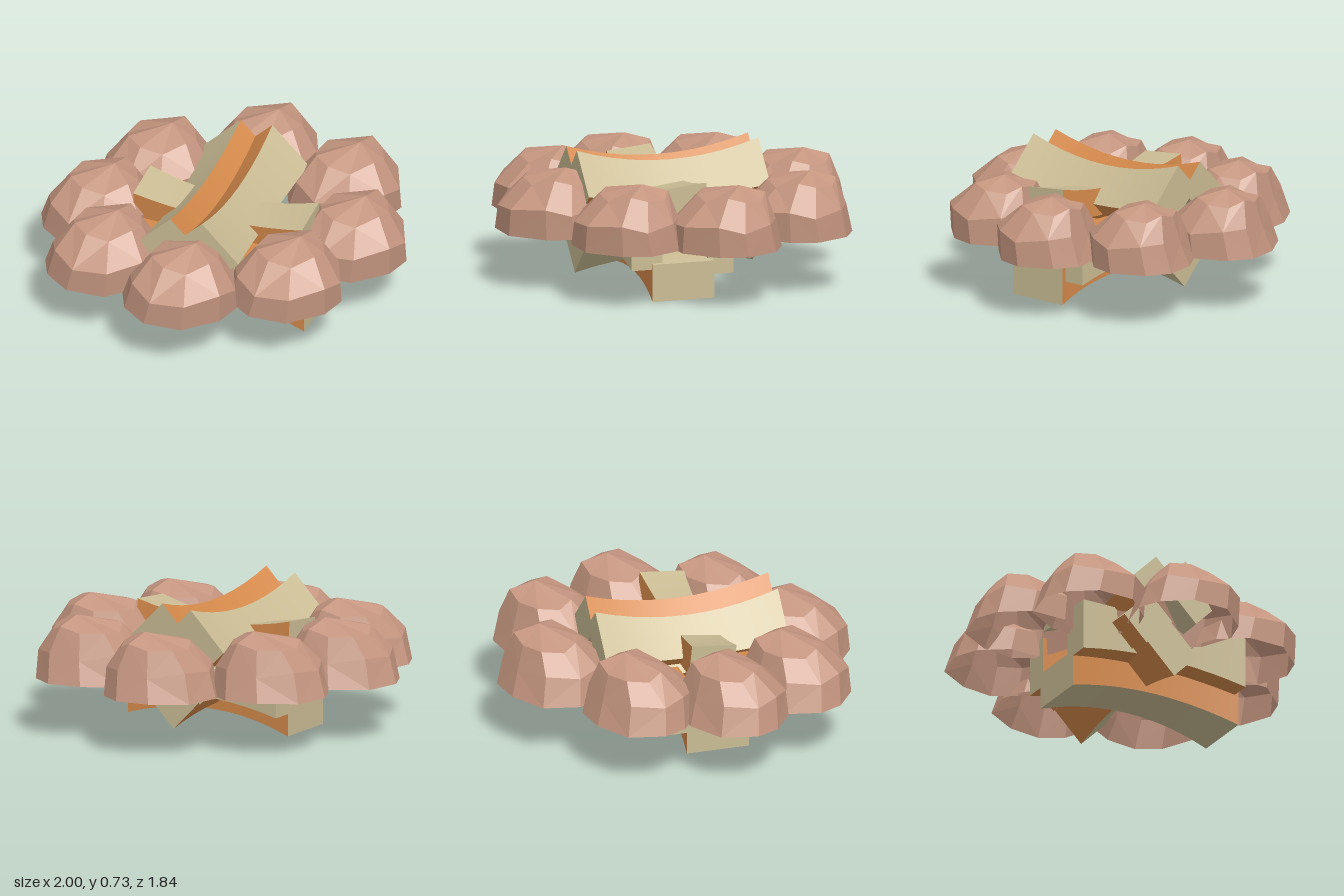
import * as THREE from 'three';

const stone = new THREE.MeshStandardMaterial({ color: 0xc4957f, side: THREE.DoubleSide });
stone.name = 'stone';
const wood = new THREE.MeshStandardMaterial({ color: 0xcabc94 });
wood.name = 'cut wood';
const bark = new THREE.MeshStandardMaterial({ color: 0xd4894a });
bark.name = 'orange bark';

// Faceted half boulder, open underneath: shrinking rings closed by an apex
function stoneGeometry() {
  const ring = [[-.05, -.29], [.15, -.21], [.28, -.08], [.295, .06], [.2, .23],
    [.06, .285], [-.16, .25], [-.29, .09], [-.295, -.09], [-.23, -.21]];
  const n = ring.length;
  const levels = [[1, .305, 0, 0], [.92, .45, 0, .03], [.6, .58, .03, 0]];
  const rings = levels.map(([s, y, ox, oz], k) => ring.map(([x, z], i) =>
    new THREE.Vector3(x * s + ox, y + (k ? .02 * Math.cos(i * 2.2 + k) : 0), z * s + oz)));
  const apex = new THREE.Vector3(.08, .64, .02);
  const pts = [];
  for (let i = 0; i < n; i++) {
    const j = (i + 1) % n;
    for (let k = 0; k < 2; k++) {
      const a = rings[k][i], b = rings[k][j], c = rings[k + 1][j], d = rings[k + 1][i];
      if ((i + k) % 2) pts.push(b, a, d, b, d, c);
      else pts.push(b, a, c, a, d, c);
    }
    pts.push(rings[2][j], rings[2][i], apex);
  }
  const g = new THREE.BufferGeometry().setFromPoints(pts);
  g.computeVertexNormals();
  return g;
}

// Split log along z: waisted in the middle and bent up or down
function logGeometry(width, height, length, roll, bend, crosswise) {
  const g = new THREE.BoxGeometry(width, height, length, 1, 1, 10);
  const p = g.attributes.position;
  for (let i = 0; i < p.count; i++) {
    const t = p.getZ(i) / (length / 2);
    const s = .82 + .18 * t * t;
    p.setXY(i, p.getX(i) * s, p.getY(i) * s);
  }
  g.rotateZ(roll);
  for (let i = 0; i < p.count; i++) {
    const t = p.getZ(i) / (length / 2);
    p.setY(i, p.getY(i) + bend * (1 - t * t));
  }
  if (crosswise) g.rotateY(Math.PI / 2);
  g.computeVertexNormals();
  return g;
}

export function createModel() {
  const model = new THREE.Group();
  model.name = 'campfire';

  // Ring of stones
  const stones = new THREE.Group();
  stones.name = 'stoneRing';
  const geo = stoneGeometry();
  [[-.49, -.47], [-.03, -.63], [.51, -.44], [.705, .05],
    [.46, .49], [-.03, .63], [-.53, .39], [-.705, -.09]].forEach(([x, z], i) => {
    const m = new THREE.Mesh(geo, stone);
    m.name = 'stone' + (i + 1);
    m.position.set(x, 0, z);
    stones.add(m);
  });
  model.add(stones);

  // Log stack, turned as a whole; side materials run +x, -x, +y, -y, then the two ends
  const stack = new THREE.Group();
  stack.name = 'logStack';
  stack.rotation.y = .63;
  const q = Math.PI / 4;
  const barkSides = [bark, bark, wood, wood, wood, wood];
  const barkFaces = [wood, wood, bark, bark, wood, wood];
  const cutLeft = [wood, bark, bark, bark, wood, wood];
  const cutRight = [bark, wood, bark, bark, wood, wood];
  // name, materials, width, height, length, roll, bend, crosswise, position
  [
    ['topLogBack', barkSides, .29, .19, 1, -q, -.05, true, [-.05, .545, -.135]],
    ['topLogFront', barkSides, .29, .2, 1, q, -.05, true, [-.05, .555, .11]],
    ['upperMiddleLog', barkSides, .245, .17, .95, .1, -.05, false, [-.09, .515, .035]],
    ['sideLogLeft', cutLeft, .14, .28, .97, 0, .03, false, [.1, .26, .035]],
    ['sideLogRight', cutRight, .17, .28, .98, 0, .03, false, [-.31, .31, .04]],
    ['innerLog', barkSides, .22, .19, .98, -q, .03, true, [-.05, .355, -.14]],
    ['lowerMiddleLog', barkFaces, .3, .2, .98, q, .03, true, [-.05, .235, -.02]],
    ['bottomLog', barkSides, .34, .2, 1, 0, .06, false, [-.115, .1, .05]],
  ].forEach(([name, mats, w, h, l, roll, bend, cross, pos]) => {
    const m = new THREE.Mesh(logGeometry(w, h, l, roll, bend, cross), mats);
    m.name = name;
    m.position.set(...pos);
    stack.add(m);
  });
  model.add(stack);
  return model;
}
